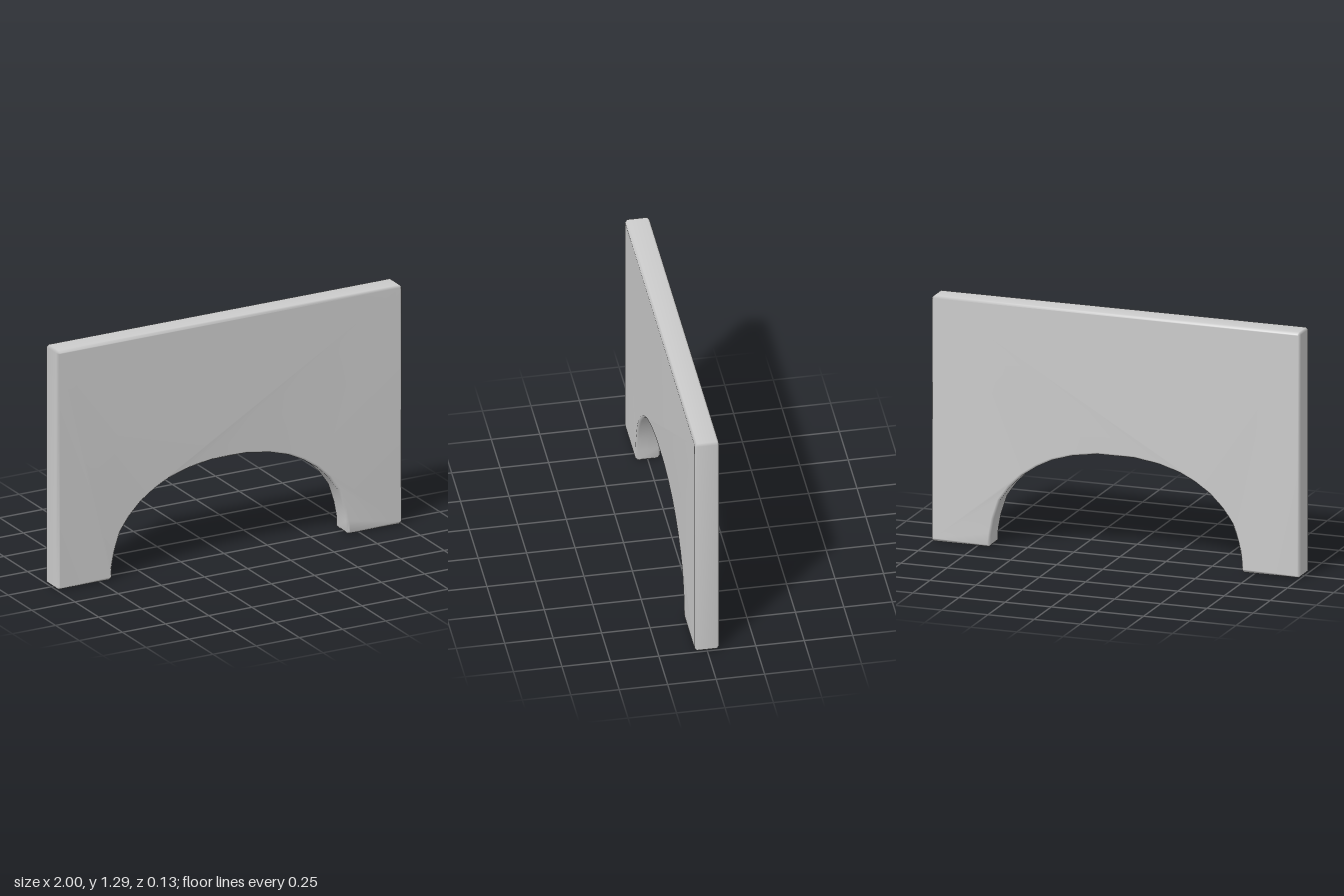
import * as THREE from 'three';
import { mergeVertices } from 'three/addons/utils/BufferGeometryUtils.js';

const HEIGHT = 1.295, DEPTH = 0.126, BEVEL = 0.012;

// Right half of the outline: arch crown, down the leg, then up the outer edge
const HALF = [
  [0.1, 0.545], [0.235, 0.524], [0.347, 0.49], [0.43, 0.448], [0.51, 0.393],
  [0.577, 0.325], [0.63, 0.25], [0.663, 0.15], [0.678, 0.07], [0.68, BEVEL], [0.69, 0],
  [1 - BEVEL, 0], [1, BEVEL], [1, HEIGHT - BEVEL], [1 - BEVEL, HEIGHT],
];

export function createModel() {
  const group = new THREE.Group();
  group.name = 'archedPanel';

  // Mirror the half outline to close the shape
  const mirrored = HALF.map(([x, y]) => [-x, y]).reverse();
  const shape = new THREE.Shape([...HALF, ...mirrored].map(([x, y]) => new THREE.Vector2(x, y)));

  // Slab with a small chamfer that stays inside the outline
  let geometry = new THREE.ExtrudeGeometry(shape, {
    depth: DEPTH - 2 * BEVEL,
    bevelEnabled: true,
    bevelSize: BEVEL,
    bevelThickness: BEVEL,
    bevelOffset: -BEVEL,
    bevelSegments: 1,
  });
  geometry.translate(0, 0, -DEPTH / 2 + BEVEL);

  // Weld the corners so the shading runs smoothly over the edges
  geometry.deleteAttribute('normal');
  geometry.deleteAttribute('uv');
  geometry = mergeVertices(geometry, 1e-4);
  geometry.computeVertexNormals();

  const panel = new THREE.Mesh(geometry, new THREE.MeshStandardMaterial({ color: 0xcccccc }));
  panel.name = 'panel';
  group.add(panel);
  return group;
}
